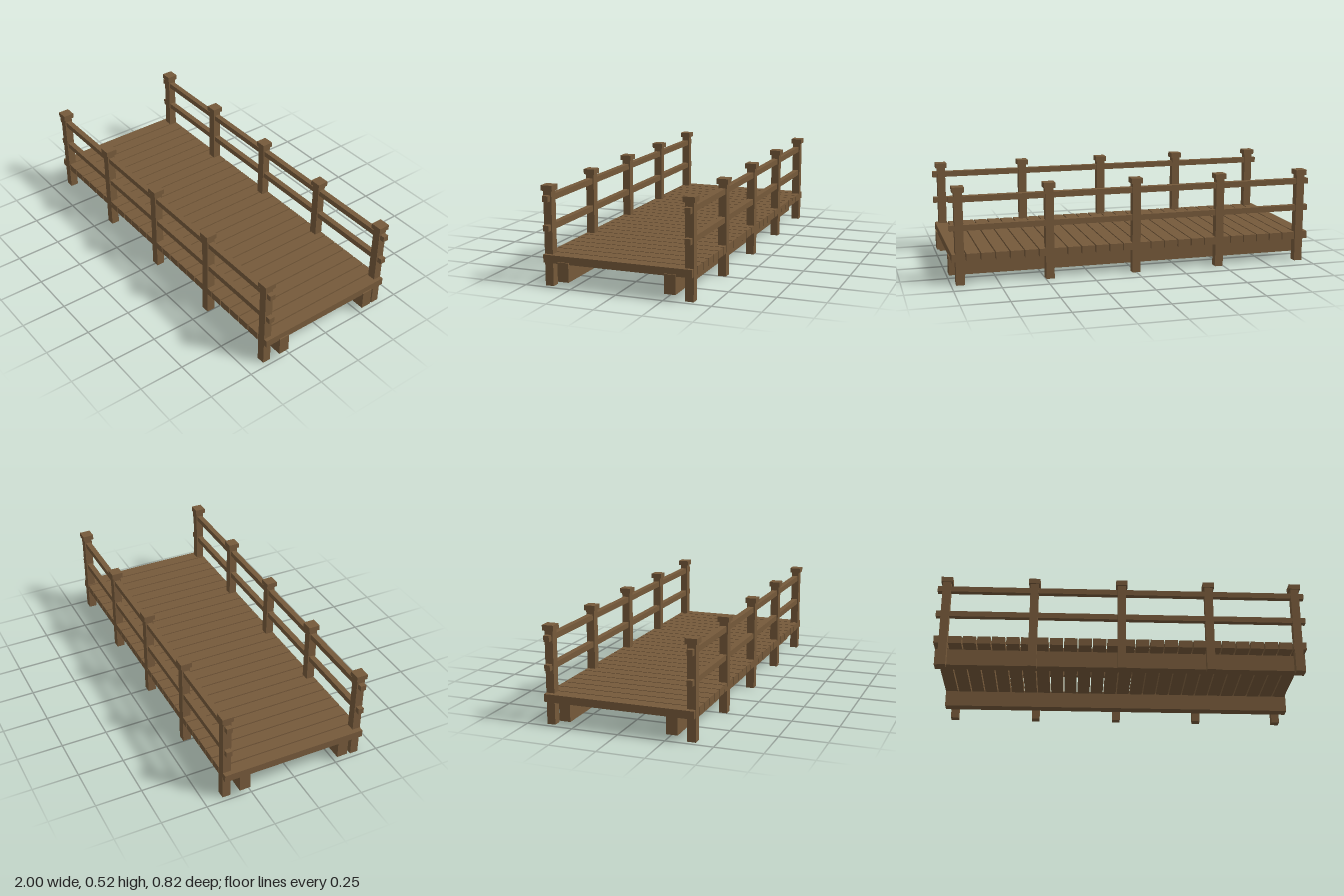
import * as THREE from 'three';

export function createModel() {
  const model = new THREE.Group();
  model.name = 'footbridge';
  const wood = new THREE.MeshStandardMaterial({ color: 0x75593a });
  wood.name = 'brown wood';

  // Box given by its size and the position of its bottom centre
  function addBox(parent, name, w, h, d, x, bottom, z) {
    const mesh = new THREE.Mesh(new THREE.BoxGeometry(w, h, d), wood);
    mesh.name = name;
    mesh.position.set(x, bottom + h / 2, z);
    parent.add(mesh);
  }

  // Deck of evenly spaced cross planks
  const deck = new THREE.Group();
  deck.name = 'deck';
  const count = 26, pitch = 2 / count, plankWidth = 0.07;
  for (let i = 0; i < count; i++) {
    addBox(deck, 'plank', plankWidth, 0.041, 0.8, -1 + i * pitch + plankWidth / 2, 0.125, 0);
  }
  model.add(deck);

  for (const side of [1, -1]) {
    // Long support beam beneath the deck
    addBox(model, 'beam', 2, 0.1, 0.06, 0, 0.035, side * 0.287);

    // Railing: capped posts joined by two rails
    const railing = new THREE.Group();
    railing.name = side > 0 ? 'frontRailing' : 'backRailing';
    const z = side * 0.378;
    for (let i = -2; i <= 2; i++) {
      const x = i * 0.4755;
      addBox(railing, 'post', 0.045, 0.49, 0.045, x, 0, z);
      addBox(railing, 'postCap', 0.062, 0.028, 0.062, x, 0.49, z);
    }
    for (const y of [0.287, 0.437]) addBox(railing, 'rail', 2, 0.031, 0.031, 0, y, z);
    model.add(railing);
  }
  return model;
}
